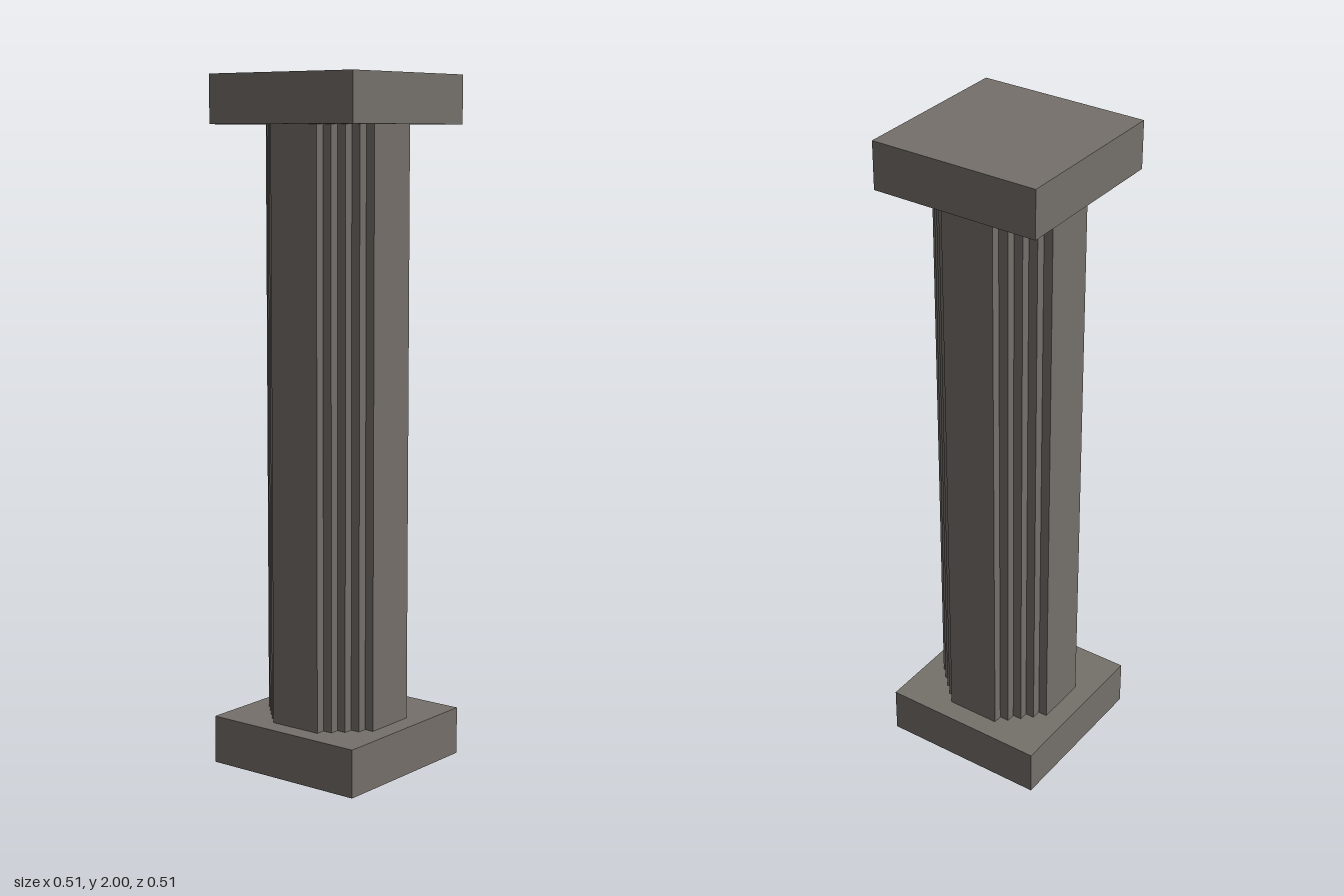
import * as THREE from 'three';

const SLAB_SIZE = 0.51, SLAB_HEIGHT = 0.14, HEIGHT = 2;
// Half-widths of the stepped corner, from the flat face outwards
const STEPS = [0.082, 0.111, 0.139, 0.167, 0.195];

// Square outline with four small stair steps cut into each corner
function shaftOutline() {
  const corner = [];
  const last = STEPS.length - 1;
  for (let i = 0; i <= last; i++) {
    corner.push([STEPS[last - i], STEPS[i]]);
    if (i < last) corner.push([STEPS[last - i - 1], STEPS[i]]);
  }
  const points = [];
  for (let q = 0; q < 4; q++) {
    for (const [x, y] of corner) {
      points.push(new THREE.Vector2(x, y).rotateAround(new THREE.Vector2(), q * Math.PI / 2));
    }
  }
  return new THREE.Shape(points);
}

export function createModel() {
  const group = new THREE.Group();
  group.name = 'column';
  const stone = new THREE.MeshStandardMaterial({ color: 0x75706a });
  stone.name = 'stone';

  // Matching square slabs at the foot and the head
  const slab = new THREE.BoxGeometry(SLAB_SIZE, SLAB_HEIGHT, SLAB_SIZE);
  for (const [name, y] of [['base', SLAB_HEIGHT / 2], ['capital', HEIGHT - SLAB_HEIGHT / 2]]) {
    const mesh = new THREE.Mesh(slab, stone);
    mesh.name = name;
    mesh.position.y = y;
    group.add(mesh);
  }

  // Shaft with stepped corners, set very slightly off centre
  const shaftGeometry = new THREE.ExtrudeGeometry(shaftOutline(), {
    depth: HEIGHT - 2 * SLAB_HEIGHT, bevelEnabled: false,
  });
  shaftGeometry.rotateX(-Math.PI / 2);
  const shaft = new THREE.Mesh(shaftGeometry, stone);
  shaft.name = 'shaft';
  shaft.position.set(-0.003, SLAB_HEIGHT, 0.003);
  group.add(shaft);

  return group;
}
